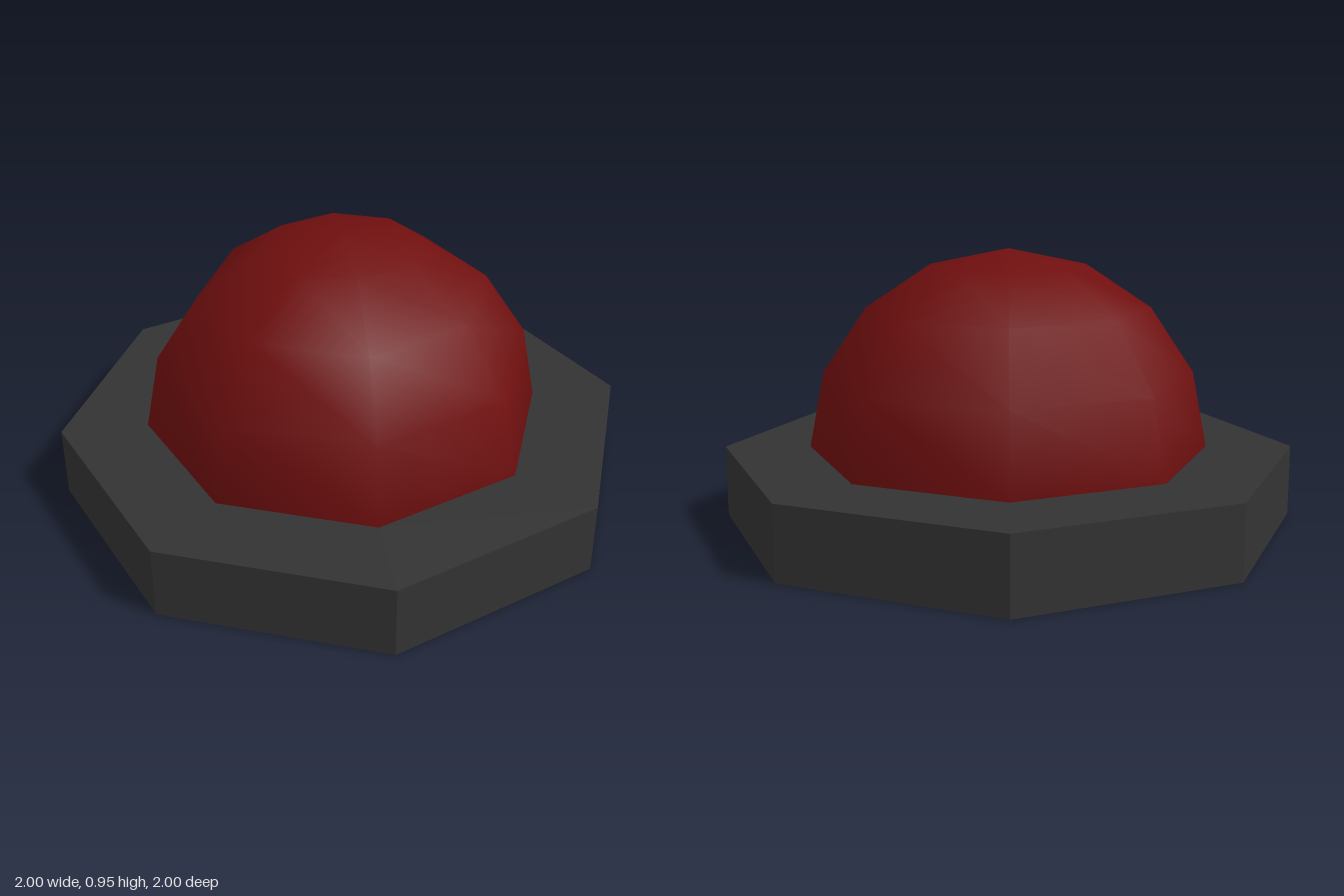
import * as THREE from 'three';

const SIDES = 8;
const BASE_HEIGHT = 0.25;
const DOME_RADIUS = 0.7;

export function createModel() {
  const model = new THREE.Group();
  model.name = 'domeButton';

  // Octagonal base: thin outer wall and flat top rim, open underneath
  const profile = [
    new THREE.Vector2(1, 0),
    new THREE.Vector2(1, BASE_HEIGHT),
    new THREE.Vector2(DOME_RADIUS, BASE_HEIGHT),
  ];
  const base = new THREE.Mesh(
    new THREE.LatheGeometry(profile, SIDES),
    new THREE.MeshStandardMaterial({ color: 0x333333, flatShading: true, side: THREE.DoubleSide })
  );
  base.name = 'base';
  model.add(base);

  // Smooth-shaded hollow half sphere sitting in the rim
  const dome = new THREE.Mesh(
    new THREE.SphereGeometry(DOME_RADIUS, SIDES, 4, 0, Math.PI * 2, 0, Math.PI / 2),
    new THREE.MeshStandardMaterial({ color: 0x700f0f, side: THREE.DoubleSide })
  );
  dome.name = 'dome';
  dome.position.y = BASE_HEIGHT;
  model.add(dome);

  return model;
}
